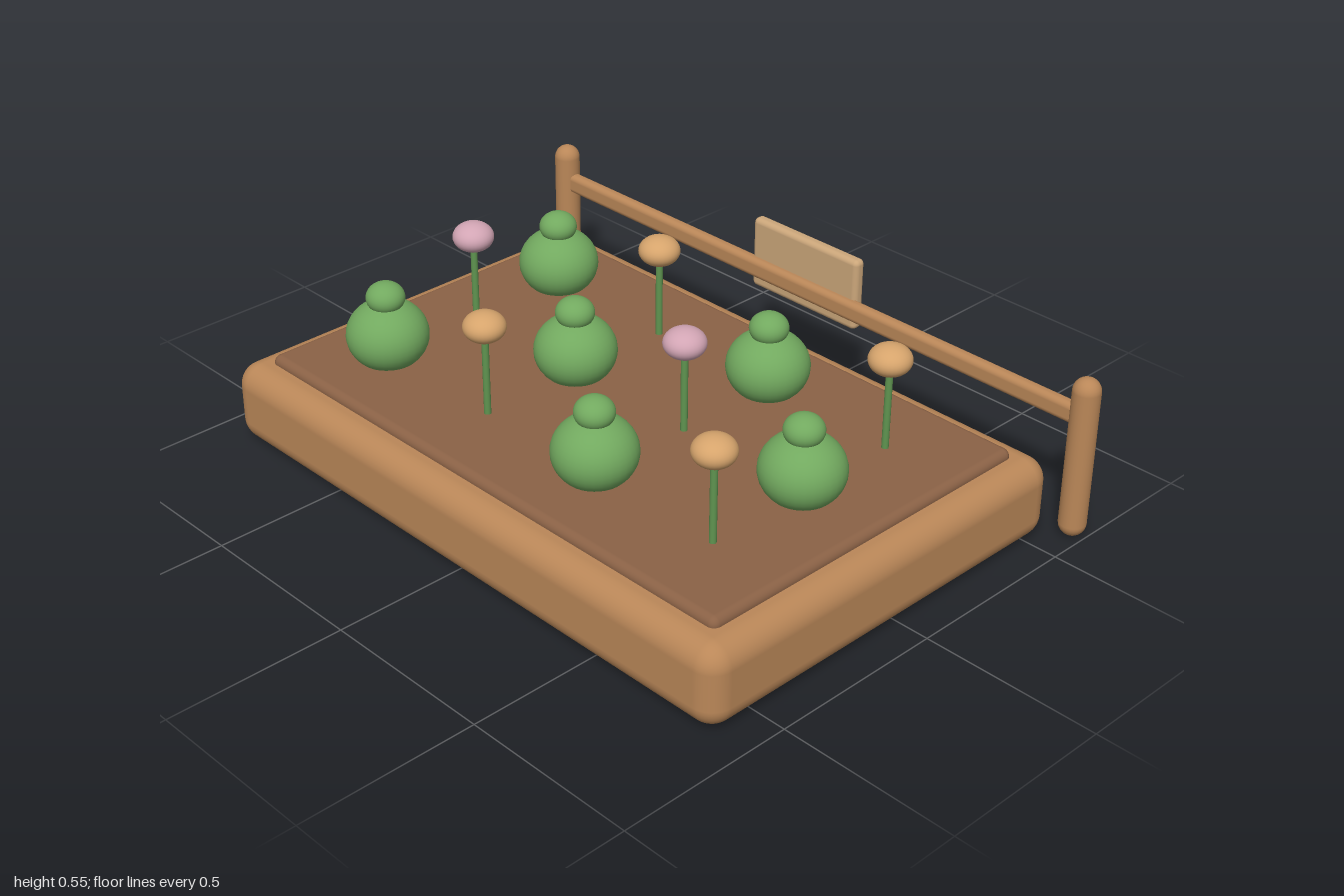
import * as THREE from 'three';
import { RoundedBoxGeometry } from 'three/addons/geometries/RoundedBoxGeometry.js';

const mat = (name, color) => {
  const m = new THREE.MeshStandardMaterial({ color });
  m.name = name;
  return m;
};

export function createModel() {
  const wood = mat('wood', 0xba8758);
  const soil = mat('soil', 0x8b6246);
  const leaf = mat('leaf green', 0x72a95f);
  const stemGreen = mat('stem green', 0x5f9450);
  const amber = mat('amber blossom', 0xd6a46c);
  const pink = mat('pink blossom', 0xd2a5b4);
  const paleWood = mat('pale wood', 0xcba67a);

  const model = new THREE.Group();
  model.name = 'gardenBed';

  const add = (parent, name, geometry, material, x, y, z) => {
    const mesh = new THREE.Mesh(geometry, material);
    mesh.name = name;
    mesh.position.set(x, y, z);
    parent.add(mesh);
    return mesh;
  };
  const ellipsoid = (r, h) => new THREE.SphereGeometry(r, 32, 20).scale(1, h / r, 1);

  // Raised bed and the soil slab on top
  const bedZ = 0.041;
  add(model, 'bedFrame', new RoundedBoxGeometry(1.84, 0.23, 1.228, 5, 0.064), wood, 0, 0.117, bedZ);
  add(model, 'soil', new RoundedBoxGeometry(1.685, 0.1, 1.07, 4, 0.022), soil, 0, 0.206, 0.039);

  // Fence behind the bed: two posts, a rail and a blank sign
  const fenceZ = -0.615;
  const post = new THREE.CapsuleGeometry(0.037, 0.388, 8, 24);
  for (const side of [-1, 1]) {
    add(model, side < 0 ? 'rightPost' : 'leftPost', post, wood, side * 0.962, 0.233, fenceZ);
  }
  add(model, 'rail', new RoundedBoxGeometry(1.89, 0.058, 0.037, 4, 0.016), wood, 0, 0.351, fenceZ);
  add(model, 'sign', new RoundedBoxGeometry(0.385, 0.21, 0.037, 4, 0.015), paleWood, 0, 0.391, -0.636);

  // Plants: round shrubs and flowers alternate over a 4 by 3 grid
  const shrubBody = ellipsoid(0.1125, 0.098);
  const shrubCrown = ellipsoid(0.053, 0.043);
  const stem = new THREE.CylinderGeometry(0.0095, 0.0095, 0.25, 16);
  const blossom = ellipsoid(0.057, 0.041);
  for (let row = 0; row < 3; row++) {
    for (let col = 0; col < 4; col++) {
      const plant = new THREE.Group();
      plant.position.set((col - 1.5) * 0.41, 0, bedZ + (row - 1) * 0.308);
      if ((row + col) % 2 === 0) {
        plant.name = 'shrub';
        add(plant, 'shrubBody', shrubBody, leaf, 0, 0.326, 0);
        add(plant, 'shrubCrown', shrubCrown, leaf, 0, 0.437, 0);
      } else {
        plant.name = 'flower';
        add(plant, 'stem', stem, stemGreen, 0, 0.365, 0);
        add(plant, 'blossom', blossom, row === 1 ? pink : amber, 0, 0.511, 0);
      }
      model.add(plant);
    }
  }
  return model;
}
